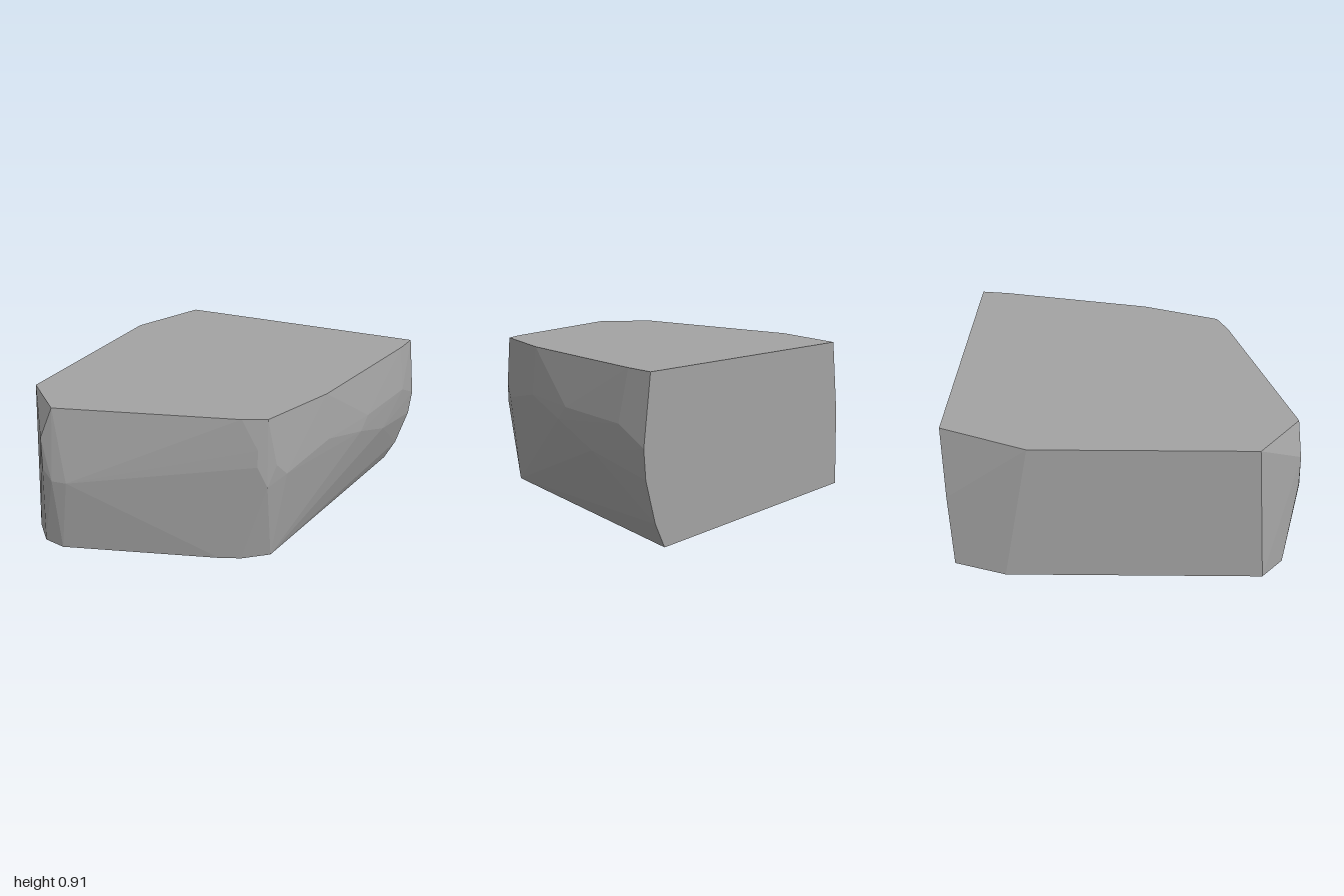
import * as THREE from 'three';
import { ConvexGeometry } from 'three/addons/geometries/ConvexGeometry.js';

export function createModel() {
  const group = new THREE.Group();
  group.name = 'rockBlock';
  const stone = new THREE.MeshStandardMaterial({ color: 0xa3a3a3, flatShading: true });
  stone.name = 'grey stone';

  const ring = (y, pairs) => pairs.map(([x, z]) => new THREE.Vector3(x, y, z));

  // Flat top and bottom outlines, as x and z
  const top = ring(0.91, [
    [-0.93, 0.71], [-0.65, 0.95], [0.37, 0.65], [0.5, 0.59],
    [0.67, 0.12], [0.86, -0.83], [0.88, -1], [-0.74, -1], [-0.93, -0.51],
  ]);
  const bottom = ring(0, [
    [-0.93, 0.8], [-0.8, 0.93], [-0.66, 0.955], [0.24, 0.67], [0.36, 0.62],
    [0.5, 0.51], [0.77, -1], [-0.84, -1], [-0.93, -0.69],
  ]);

  // Bulging chipped corners between them, as x, y and z
  const chips = [
    // front left-hand edge
    [-0.73, 0.72, 0.97], [-0.73, 0.53, 0.98], [-0.66, 0.47, 1], [-0.57, 0.47, 0.99],
    // front right-hand edge
    [0.46, 0.63, 0.635], [0.46, 0.73, 0.63], [0.51, 0.5, 0.605], [0.545, 0.63, 0.56], [0.58, 0.55, 0.49],
    // curved side
    [0.7, 0.63, 0.12], [0.81, 0.63, -0.3], [0.795, 0.55, -0.22],
    [0.85, 0.44, -0.55], [0.9, 0.63, -0.8],
    // back edges
    [0.925, 0.54, -1], [0.91, 0.38, -1], [0.84, 0.14, -1], [-0.81, 0.48, -1],
  ].map((p) => new THREE.Vector3(...p));

  const rock = new THREE.Mesh(new ConvexGeometry([...top, ...bottom, ...chips]), stone);
  rock.name = 'rock';
  group.add(rock);
  return group;
}
